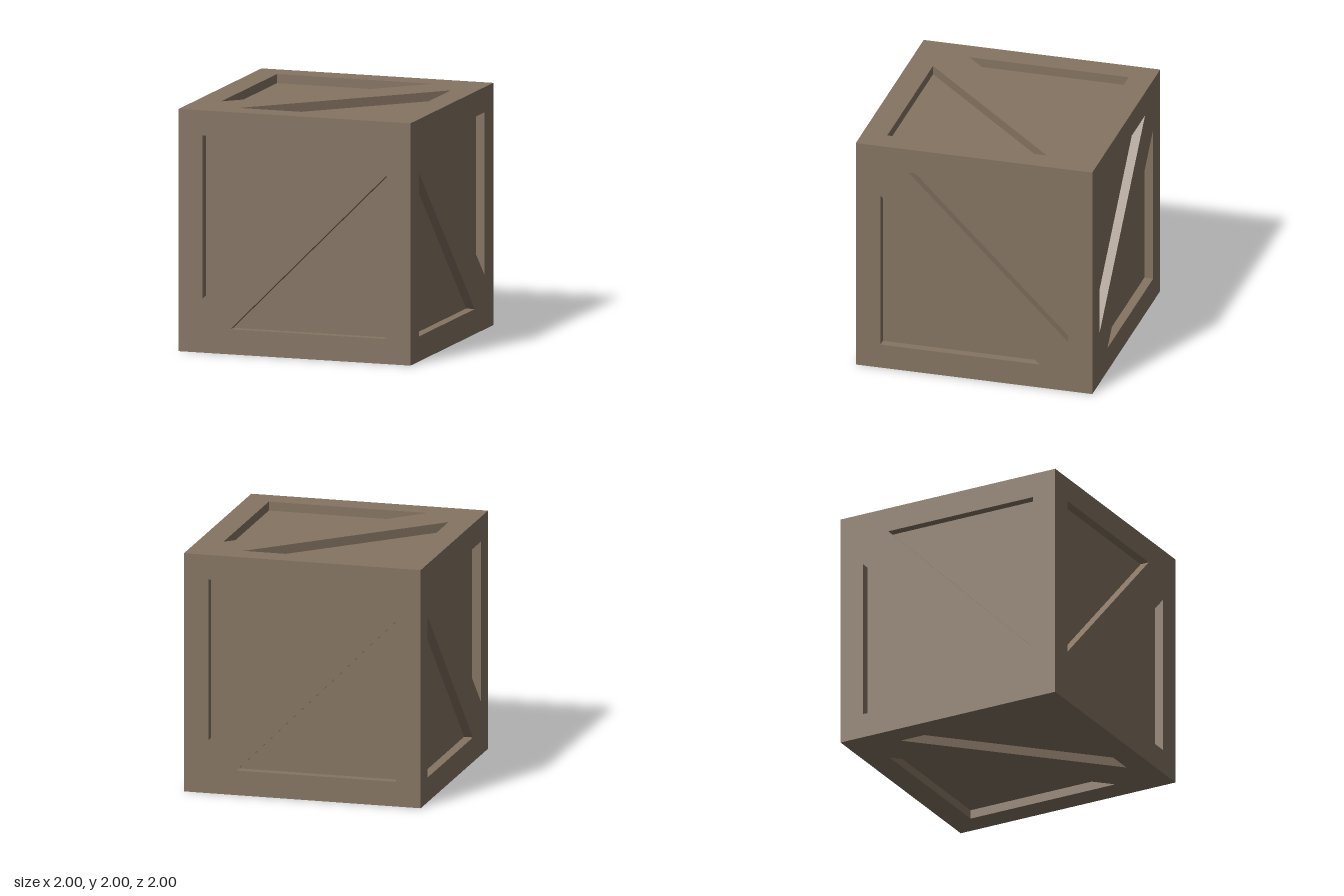
import * as THREE from 'three';

const DEPTH = 0.075; // recess depth
const IN = 0.793;    // frame's inner edge
const TIP = 0.555;   // where the brace meets the frame

const wood = new THREE.MeshStandardMaterial({ color: 0x857462 });
wood.name = 'brown wood';

// Two triangular recesses, counter-clockwise, on either side of the brace
const upper = [[-IN, IN], [-IN, -TIP], [TIP, IN]];
const recesses = [upper, upper.map(([x, y]) => [-x, -y])]
  .map(points => points.map(([x, y]) => new THREE.Vector2(x, y)));

// Inward-facing walls around one recess
function wallGeometry(points) {
  const positions = [];
  points.forEach((a, i) => {
    const b = points[(i + 1) % points.length];
    const low = 1 - DEPTH;
    positions.push(
      a.x, a.y, 1, b.x, b.y, 1, b.x, b.y, low,
      a.x, a.y, 1, b.x, b.y, low, a.x, a.y, low);
  });
  const geometry = new THREE.BufferGeometry();
  geometry.setAttribute('position', new THREE.Float32BufferAttribute(positions, 3));
  geometry.computeVertexNormals();
  return geometry;
}

// One crate side, facing +z, with the brace rising to the right
function createSide(name) {
  const side = new THREE.Group();
  side.name = name;
  const add = (geometry, part) => {
    const mesh = new THREE.Mesh(geometry, wood);
    mesh.name = part;
    side.add(mesh);
  };

  // Outer frame and diagonal brace
  const outline = new THREE.Shape([[-1, -1], [1, -1], [1, 1], [-1, 1]]
    .map(([x, y]) => new THREE.Vector2(x, y)));
  outline.holes = recesses.map(points => new THREE.Path(points));
  add(new THREE.ShapeGeometry(outline).translate(0, 0, 1), 'frameAndBrace');

  // Sunken panels and their walls
  for (const points of recesses) {
    add(new THREE.ShapeGeometry(new THREE.Shape(points)).translate(0, 0, 1 - DEPTH), 'sunkenPanel');
    add(wallGeometry(points), 'recessWalls');
  }
  return side;
}

export function createModel() {
  const crate = new THREE.Group();
  crate.name = 'crate';
  const q = Math.PI / 2;
  // Name, then x, y and z turns; the z turn flips the brace direction
  const sides = [
    ['frontSide', 0, 0, 0],
    ['backSide', 0, 2 * q, 0],
    ['leftSide', 0, q, q],
    ['rightSide', 0, -q, q],
    ['topSide', -q, 0, 0],
    ['bottomSide', q, 0, 0],
  ];
  for (const [name, x, y, z] of sides) {
    const side = createSide(name);
    side.rotation.set(x, y, z);
    side.position.y = 1;
    crate.add(side);
  }
  return crate;
}
